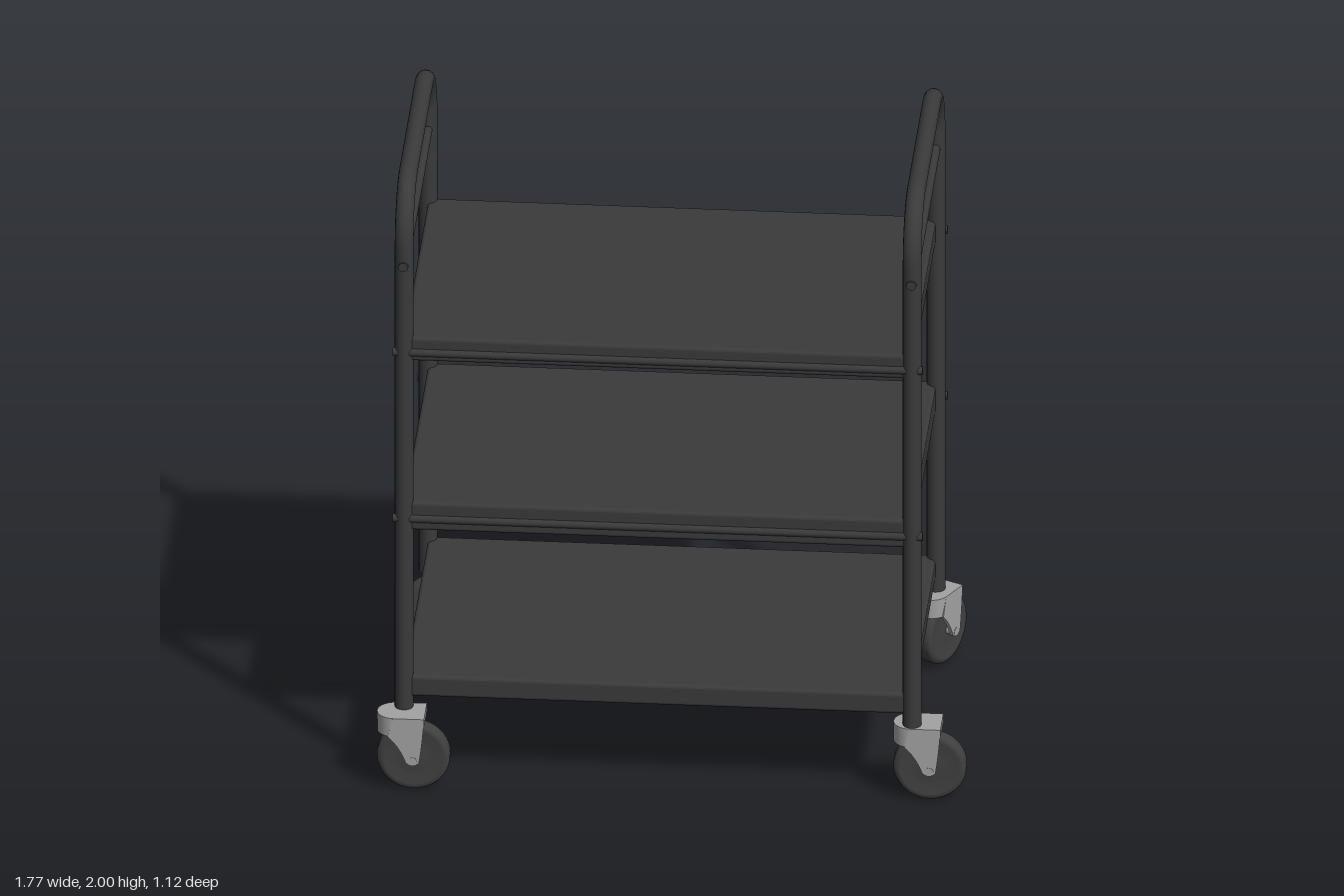
import * as THREE from 'three';
import { RoundedBoxGeometry } from 'three/addons/geometries/RoundedBoxGeometry.js';

const frameMat = new THREE.MeshStandardMaterial({ name: 'dark frame', color: 0x3a3a3a });
const tyreMat = new THREE.MeshStandardMaterial({ name: 'dark rubber', color: 0x404040 });
const forkMat = new THREE.MeshStandardMaterial({ name: 'grey metal', color: 0xa2a2a2, side: THREE.DoubleSide });

const LEFT = 0.722, RIGHT = -0.807, FRONT = 0.467, BACK = -0.433;
const MID_X = (LEFT + RIGHT) / 2, MID_Z = (FRONT + BACK) / 2;

function add(parent, name, geometry, material, x = 0, y = 0, z = 0) {
  const mesh = new THREE.Mesh(geometry, material);
  mesh.name = name;
  mesh.position.set(x, y, z);
  parent.add(mesh);
  return mesh;
}

// Two posts joined by a bent handle, as one tube
function endFrame(parent, x) {
  const R = 0.17, top = 1.972, v = (y, z) => new THREE.Vector3(x, y, z);
  const path = new THREE.CurvePath();
  const bend = (a, c, d) => {
    const k = 0.5523;
    path.add(new THREE.CubicBezierCurve3(a, a.clone().lerp(c, k), d.clone().lerp(c, k), d));
  };
  path.add(new THREE.LineCurve3(v(0.25, FRONT), v(top - R, FRONT)));
  bend(v(top - R, FRONT), v(top, FRONT), v(top, FRONT - R));
  path.add(new THREE.LineCurve3(v(top, FRONT - R), v(top, BACK + R)));
  bend(v(top, BACK + R), v(top, BACK), v(top - R, BACK));
  path.add(new THREE.LineCurve3(v(top - R, BACK), v(0.25, BACK)));
  add(parent, 'endFrame', new THREE.TubeGeometry(path, 160, 0.028, 16), frameMat);

  // Thin bar below the handle, its ends showing outside the posts
  const bar = new THREE.CylinderGeometry(0.015, 0.015, FRONT - BACK + 0.066, 12).rotateX(Math.PI / 2);
  add(parent, 'handleBar', bar, frameMat, x, 1.745, MID_Z);
}

function shelf(parent, low, high, rodY) {
  const width = LEFT - RIGHT, depth = FRONT - BACK + 0.025;
  const slab = new RoundedBoxGeometry(width, high - low, depth, 3, 0.012);
  add(parent, 'shelf', slab, frameMat, MID_X, (low + high) / 2, MID_Z);
  if (!rodY) return;
  // Support rods along the long edges
  for (const z of [FRONT + 0.01, BACK - 0.022]) {
    const rod = new THREE.CylinderGeometry(0.013, 0.013, width + 0.066, 12).rotateZ(Math.PI / 2);
    add(parent, 'shelfRod', rod, frameMat, MID_X, rodY, z);
  }
}

// Swivel caster, with the wheel axle along z and the wheel trailing to +x
function caster(parent, x, z, yaw) {
  const group = new THREE.Group();
  group.name = 'caster';
  group.position.set(x, 0, z);
  group.rotation.y = yaw;
  parent.add(group);

  const profile = [[0, -0.026], [0.045, -0.026], [0.06, -0.022], [0.09, -0.028], [0.104, -0.026],
    [0.11, -0.014], [0.11, 0.014], [0.104, 0.026], [0.09, 0.028], [0.06, 0.022], [0.045, 0.026], [0, 0.026]];
  const wheel = new THREE.LatheGeometry(profile.map(p => new THREE.Vector2(...p)), 40).rotateX(Math.PI / 2);
  add(group, 'wheel', wheel, tyreMat, 0, 0.11, 0);
  add(group, 'axle', new THREE.CylinderGeometry(0.014, 0.014, 0.112, 12).rotateX(Math.PI / 2), forkMat, 0, 0.11, 0);

  // Fork crown, round at the swivel end
  const outline = new THREE.Shape();
  outline.moveTo(0.035, -0.055);
  outline.lineTo(0.035, 0.055);
  outline.lineTo(-0.055, 0.055);
  outline.absarc(-0.055, 0, 0.055, Math.PI / 2, Math.PI * 1.5, false);
  const crown = new THREE.ExtrudeGeometry(outline, { depth: 0.026, bevelEnabled: false, curveSegments: 16 });
  add(group, 'forkCrown', crown.rotateX(-Math.PI / 2), forkMat, 0, 0.226, 0);

  // Curved skirt joining the fork legs
  const skirt = new THREE.CylinderGeometry(0.055, 0.055, 0.04, 16, 1, true, Math.PI, Math.PI);
  add(group, 'forkSkirt', skirt, forkMat, -0.055, 0.21, 0);

  // Tapered fork legs
  const leg = new THREE.Shape();
  leg.moveTo(-0.06, 0.25);
  leg.lineTo(0.035, 0.25);
  leg.quadraticCurveTo(0.03, 0.17, 0.02, 0.105);
  leg.quadraticCurveTo(0, 0.085, -0.02, 0.105);
  leg.quadraticCurveTo(-0.04, 0.16, -0.075, 0.19);
  for (const side of [-1, 1]) {
    const plate = new THREE.ExtrudeGeometry(leg, { depth: 0.012, bevelEnabled: false });
    add(group, 'forkLeg', plate, forkMat, 0, 0, side * 0.049 - 0.006);
  }
}

export function createModel() {
  const trolley = new THREE.Group();
  trolley.name = 'trolley';
  for (const x of [RIGHT, LEFT]) endFrame(trolley, x);

  shelf(trolley, 1.42, 1.5, 1.45);
  shelf(trolley, 0.85, 0.945, 0.89);
  shelf(trolley, 0.29, 0.36);

  caster(trolley, -0.775, 0.5, 0);
  caster(trolley, 0.775, 0.445, 0);
  caster(trolley, -0.78, -0.457, Math.PI);
  caster(trolley, 0.735, -0.455, 1.1);
  return trolley;
}
